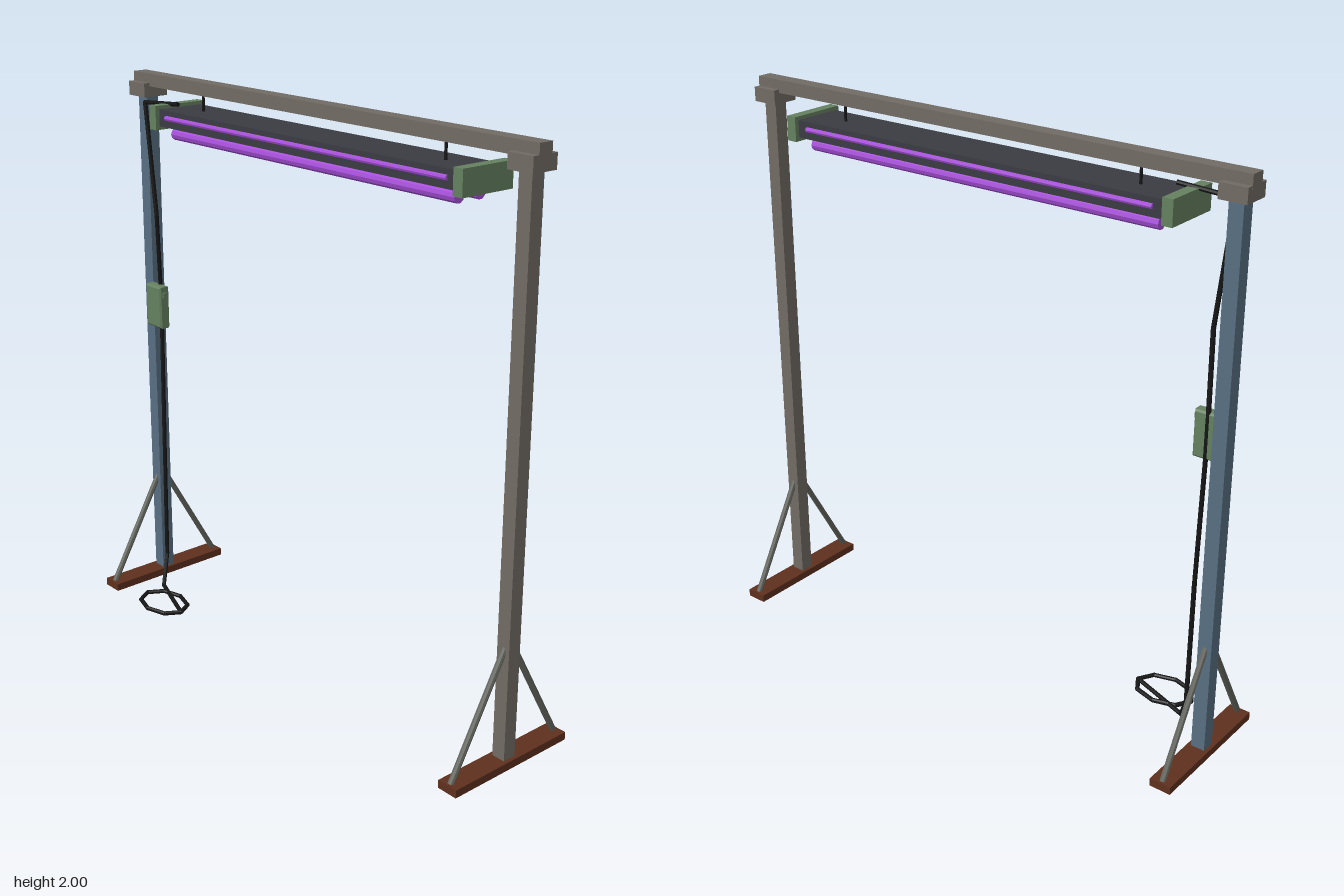
import * as THREE from 'three';

const mat = (color) => new THREE.MeshStandardMaterial({ color, flatShading: true });
const steel = mat(0x716b64), blue = mat(0x586f82), brown = mat(0x5e301d), green = mat(0x64805f);
const dark = mat(0x3b3c42), purple = mat(0xa64fd8), black = mat(0x151515), braceGrey = mat(0x62645d);
const ZC = -0.011; // depth of the frame's centre plane

export function createModel() {
  const root = new THREE.Group();

  const add = (parent, name, geometry, material, x = 0, y = 0, z = 0) => {
    const mesh = new THREE.Mesh(geometry, material);
    mesh.name = name;
    mesh.position.set(x, y, z);
    parent.add(mesh);
    return mesh;
  };
  const box = (parent, name, w, h, d, material, x, y, z) =>
    add(parent, name, new THREE.BoxGeometry(w, h, d), material, x, y, z);
  const rod = (parent, name, a, b, r, material, sides = 8) => {
    const dir = b.clone().sub(a);
    const mid = a.clone().add(b).multiplyScalar(0.5);
    const mesh = add(parent, name, new THREE.CylinderGeometry(r, r, dir.length(), sides), material, mid.x, mid.y, mid.z);
    mesh.quaternion.setFromUnitVectors(new THREE.Vector3(0, 1, 0), dir.normalize());
    return mesh;
  };
  const V = (x, y, z) => new THREE.Vector3(x, y, z);
  const group = (name) => {
    const g = new THREE.Group();
    g.name = name;
    root.add(g);
    return g;
  };

  // Uprights: foot, post, top bracket and two slanted braces on each side
  for (const s of [-1, 1]) {
    const stand = group(s < 0 ? 'rightStand' : 'leftStand');
    const x = s * 0.928;
    box(stand, 'foot', 0.077, 0.028, 0.512, brown, x, 0.014, ZC);
    box(stand, 'post', 0.05, 1.9, 0.05, s < 0 ? blue : steel, x, 0.975, ZC);
    box(stand, 'bracket', 0.096, 0.05, 0.1, steel, x, 1.941, ZC);
    for (const t of [-1, 1])
      rod(stand, 'brace', V(x, 0.025, ZC + t * 0.24), V(x, 0.424, ZC + t * 0.015), 0.011, braceGrey);
  }
  box(root, 'topBeam', 1.953, 0.046, 0.054, steel, 0, 1.977, ZC);

  // Lamp housing with end caps, tubes and hangers
  const lamp = group('lamp');
  box(lamp, 'housing', 1.47, 0.06, 0.18, dark, -0.002, 1.865, ZC);
  for (const s of [-1, 1]) {
    box(lamp, 'endCap', 0.038, 0.085, 0.212, green, s * 0.75 - 0.003, 1.865, ZC);
    rod(lamp, 'hanger', V(s * 0.593, 1.89, ZC), V(s * 0.593, 1.96, ZC), 0.005, black);
    const z = ZC + s * 0.045;
    rod(lamp, 'lowerTube', V(-0.7, 1.808, z), V(0.696, 1.808, z), 0.021, purple, 10);
    const zs = ZC + s * 0.09;
    rod(lamp, 'sideTube', V(-0.694, 1.868, zs), V(0.69, 1.868, zs), 0.009, purple);
  }

  // Control box with bevelled edges and a small side switch
  const control = group('controlBox');
  const c = 0.006, w = 0.046 - c, h = 0.08 - c;
  const face = new THREE.Shape([[-w, -h], [w, -h], [w, h], [-w, h]].map(([x, y]) => new THREE.Vector2(x, y)));
  const shell = new THREE.ExtrudeGeometry(face, { depth: 0.03, bevelSize: c, bevelThickness: c, bevelSegments: 1 });
  add(control, 'case', shell, green, -0.856, 1.14, 0.014);
  box(control, 'switch', 0.012, 0.018, 0.014, green, -0.808, 1.19, 0.032);

  // Power cable running down the post and ending in a coil on the ground
  const cable = group('cable');
  const path = [
    V(-0.695, 1.911, 0.025), V(-0.888, 1.898, 0.032), V(-0.846, 1.49, 0.028), V(-0.857, 1.2, 0.013),
    V(-0.857, 1.05, 0.013), V(-0.836, 0.6, 0.034), V(-0.828, 0.125, 0.045), V(-0.78, 0.02, 0.1),
  ];
  for (let i = 0; i <= 8; i++) {
    const a = (i / 8) * Math.PI * 2;
    path.push(V(-0.66 + 0.11 * Math.cos(a), 0.02, 0.184 + 0.077 * Math.sin(a)));
  }
  for (let i = 1; i < path.length; i++) {
    rod(cable, 'cableSegment', path[i - 1], path[i], 0.008, black);
    const p = path[i];
    add(cable, 'cableJoint', new THREE.SphereGeometry(0.008, 8, 6), black, p.x, p.y, p.z);
  }

  return root;
}
